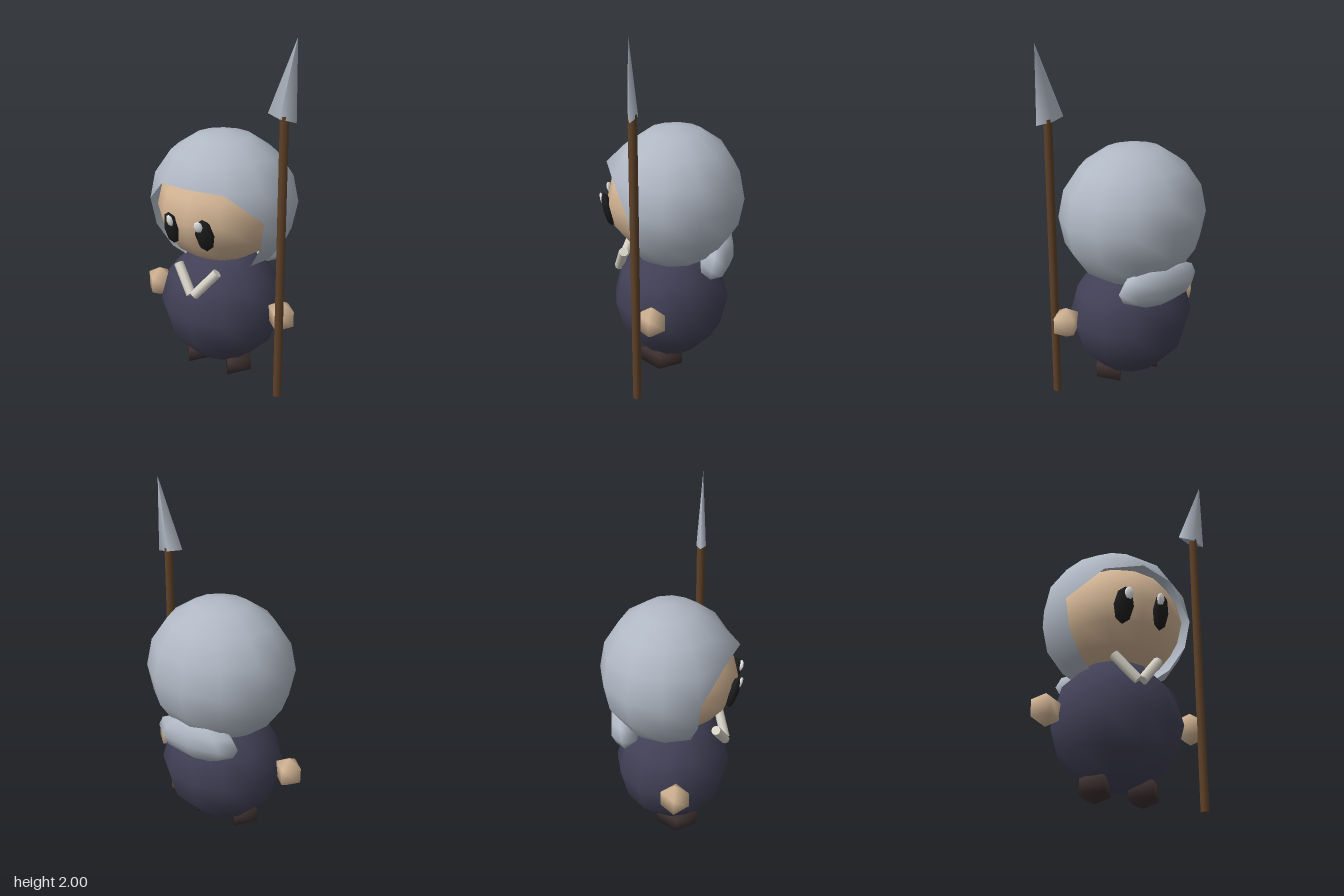
import * as THREE from 'three';

const mat = (name, color, side = THREE.FrontSide) => {
  const m = new THREE.MeshStandardMaterial({ color, side });
  m.name = name;
  return m;
};

export function createModel() {
  const group = new THREE.Group();
  const CX = -0.01; // the figure's own centre line

  const grey = mat('greyBlue', 0xb0b8c4, THREE.DoubleSide);
  const skin = mat('skin', 0xd2b494);
  const robe = mat('darkRobe', 0x414056);
  const boot = mat('darkBoot', 0x3c2f2f);
  const wood = mat('wood', 0x5e4128);
  const black = mat('eyeBlack', 0x1c1c1c);
  const white = mat('eyeWhite', 0xe8e8e8);
  const cream = mat('cream', 0xd6d2c6);

  const add = (name, geo, material, x, y, z) => {
    const m = new THREE.Mesh(geo, material);
    m.name = name;
    m.position.set(x, y, z);
    group.add(m);
    return m;
  };
  const ball = (rx, ry, rz, w, h) => new THREE.SphereGeometry(1, w, h).scale(rx, ry, rz);

  // Round body and face
  add('body', ball(0.36, 0.355, 0.33, 12, 6), robe, CX, 0.435, 0.01);
  add('face', ball(0.36, 0.31, 0.37, 12, 8), skin, CX, 1.02, 0);

  // Hood: low-poly ball with the front faces left out for the face opening
  const hood = ball(0.42, 0.405, 0.387, 12, 8);
  const idx = [];
  for (let iy = 0; iy < 8; iy++) {
    for (let ix = 0; ix < 12; ix++) {
      const b = iy * 13 + ix, a = b + 1, c = b + 13, d = c + 1;
      const open = iy >= 3 && ix >= 1 && ix <= 4;
      if (!open) {
        if (iy > 0) idx.push(a, b, d);
        if (iy < 7) idx.push(b, c, d);
      } else if (iy === 3 && ix === 1) idx.push(a, b, c); // slanted upper corners
      else if (iy === 3 && ix === 4) idx.push(a, b, d);
    }
  }
  hood.setIndex(idx);
  const brow = 3 * 13 + 3;
  hood.attributes.position.setY(brow, 0.178).setZ(brow, 0.383);
  add('hood', hood, grey, CX, 1.04, -0.01);

  // Hood bundle at the nape
  add('hoodBundle', ball(0.26, 0.13, 0.098, 8, 6), grey, CX, 0.71, -0.25).rotation.x = -0.15;

  for (const s of [-1, 1]) {
    const side = s < 0 ? 'right' : 'left';

    // Eye with highlight
    const eye = add(side + 'Eye', ball(0.053, 0.1, 0.03, 6, 4), black, CX + s * 0.105, 0.975, 0.347);
    eye.rotation.set(0.24, s * 0.25, 0);
    const shine = add(side + 'EyeHighlight', ball(0.026, 0.035, 0.012, 6, 4), white, CX + s * 0.09, 1.03, 0.383);
    shine.rotation.set(0.24, s * 0.25, 0);

    // Hand and foot
    add(side + 'Hand', new THREE.SphereGeometry(0.09, 4, 3), skin, CX + s * 0.41, 0.46, 0.055);
    add(side + 'Foot', ball(0.1, 0.08, 0.138, 4, 3), boot, CX + s * 0.133, 0.09, 0.045);

    // Slanted collar strip
    const top = new THREE.Vector3(CX + s * 0.125, 0.73, 0.26);
    const low = new THREE.Vector3(CX + s * 0.01, 0.59, 0.312);
    const dir = top.clone().sub(low);
    const mid = top.clone().add(low).multiplyScalar(0.5);
    const strip = add(side + 'Collar', new THREE.CylinderGeometry(0.027, 0.027, dir.length(), 8), cream, mid.x, mid.y, mid.z);
    strip.quaternion.setFromUnitVectors(new THREE.Vector3(0, 1, 0), dir.normalize());
  }

  // Spear: shaft and flat tilted blade
  add('spearShaft', new THREE.CylinderGeometry(0.024, 0.024, 1.61, 8), wood, 0.427, 0.805, 0.13);
  const blade = new THREE.ConeGeometry(1, 0.41, 4).scale(0.082, 1, 0.027);
  add('spearBlade', blade, grey, 0.451, 1.798, 0.13).rotation.z = -0.18;

  return group;
}
